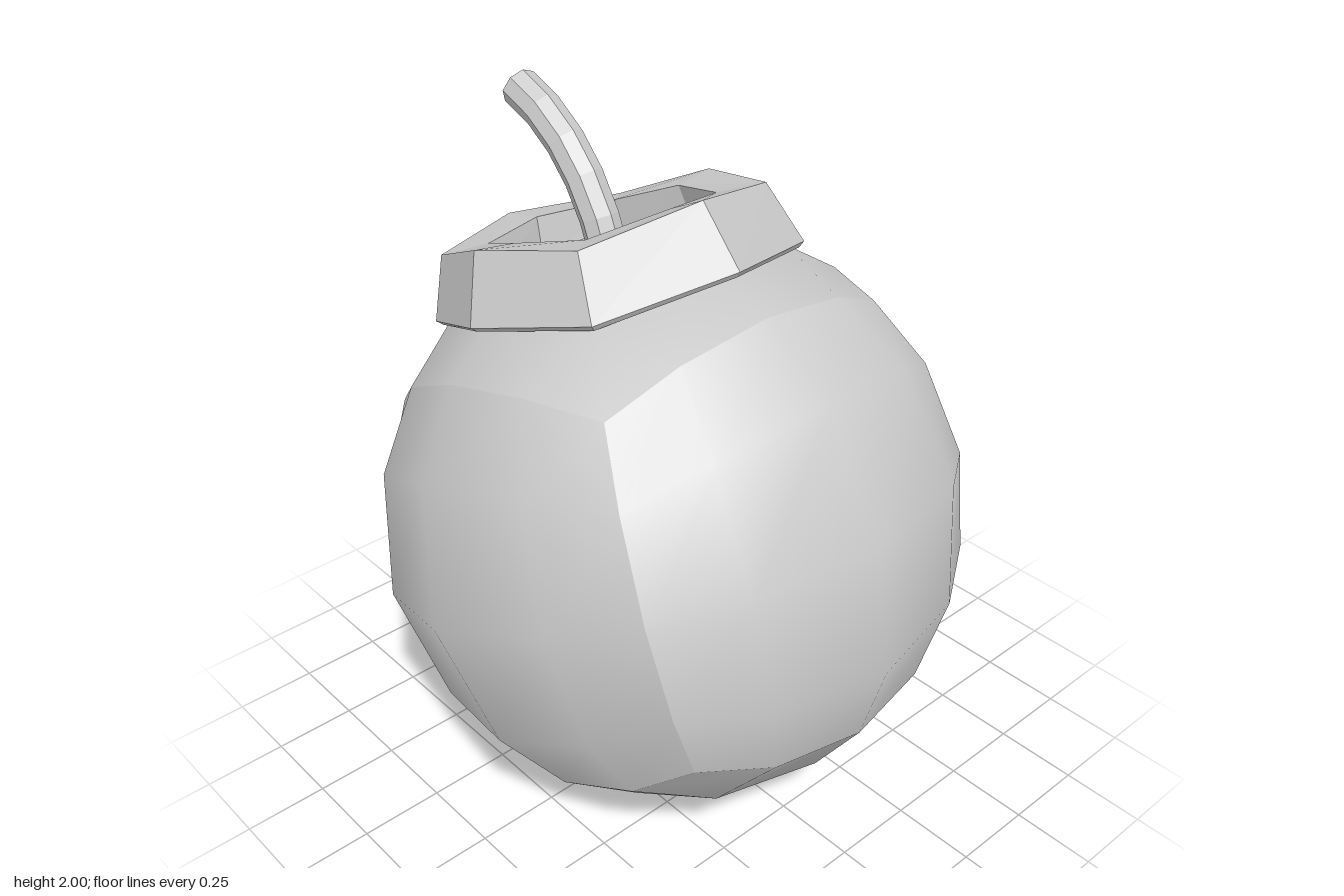
import * as THREE from 'three';

const material = new THREE.MeshStandardMaterial({ color: 0xcccccc });
const facetMaterial = new THREE.MeshStandardMaterial({ color: 0xcccccc, flatShading: true });
const R = 0.845;
const TILT = THREE.MathUtils.degToRad(-20);
const SIDES = 8;

// Skin a list of equal-length rings, given in order along the surface
function loft(rings) {
  const pos = [];
  const tri = (a, b, c) => {
    if (a.distanceTo(b) > 1e-6 && b.distanceTo(c) > 1e-6 && c.distanceTo(a) > 1e-6) {
      for (const p of [a, b, c]) pos.push(p.x, p.y, p.z);
    }
  };
  for (let i = 0; i < rings.length - 1; i++) {
    const lo = rings[i], hi = rings[i + 1];
    for (let j = 0; j < lo.length; j++) {
      const k = (j + 1) % lo.length;
      tri(lo[j], lo[k], hi[k]);
      tri(lo[j], hi[k], hi[j]);
    }
  }
  const geo = new THREE.BufferGeometry();
  geo.setAttribute('position', new THREE.Float32BufferAttribute(pos, 3));
  geo.computeVertexNormals();
  return geo;
}

// Cube blown up into a ball; each of its six sides is smooth, the seams stay creased
function bodyGeometry() {
  const geo = new THREE.BoxGeometry(1, 1, 1, 4, 4, 4);
  const p = geo.attributes.position;
  const v = new THREE.Vector3();
  for (let i = 0; i < p.count; i++) {
    v.fromBufferAttribute(p, i).setLength(R);
    p.setXYZ(i, v.x, v.y, v.z);
  }
  geo.computeVertexNormals();
  return geo;
}

// Octagonal ring whose diagonal corners sit lower, following the ball
function collarRing([rFront, rSide, rDiag, yMain, yDiag]) {
  return Array.from({ length: SIDES }, (_, j) => {
    const t = (j / SIDES) * Math.PI * 2;
    const diagonal = j % 2 === 1;
    const r = diagonal ? rDiag : j % 4 === 0 ? rFront : rSide;
    return new THREE.Vector3(r * Math.sin(t), diagonal ? yDiag : yMain, r * Math.cos(t));
  });
}

// Curved rod with a flat closed tip
function fuseGeometry() {
  const curve = new THREE.CatmullRomCurve3(
    [[1.55, -0.26], [1.69, -0.32], [1.805, -0.405], [1.895, -0.515], [1.95, -0.647]]
      .map(([y, z]) => new THREE.Vector3(0, y, z)));
  const ring = (u, radius) => {
    const c = curve.getPoint(u), d = curve.getTangent(u);
    return Array.from({ length: SIDES }, (_, j) => {
      const t = (j / SIDES) * Math.PI * 2;
      const n = radius * Math.cos(t);
      return new THREE.Vector3(radius * Math.sin(t), c.y - d.z * n, c.z + d.y * n);
    });
  };
  const rings = [];
  for (let i = 0; i <= 5; i++) rings.push(ring(i / 5, 0.057));
  rings.push(ring(1, 0));
  return loft(rings);
}

export function createModel() {
  const model = new THREE.Group();
  model.name = 'bomb';

  // Ball and collar lean backwards together
  const shell = new THREE.Group();
  shell.name = 'shell';
  shell.position.y = 0.84;
  shell.rotation.x = TILT;
  model.add(shell);

  const body = new THREE.Mesh(bodyGeometry(), material);
  body.name = 'body';
  shell.add(body);

  // Collar profile: underside, lower bevel, outer wall, rim, inner wall
  const collar = new THREE.Mesh(loft([
    [0.44, 0.42, 0.45, 0.69, 0.67],
    [0.512, 0.477, 0.518, 0.703, 0.678],
    [0.53, 0.494, 0.535, 0.717, 0.692],
    [0.45, 0.42, 0.467, 0.907, 0.873],
    [0.31, 0.295, 0.328, 0.89, 0.875],
    [0.335, 0.32, 0.35, 0.75, 0.73],
  ].map(collarRing)), facetMaterial);
  collar.name = 'collar';
  shell.add(collar);

  const fuse = new THREE.Mesh(fuseGeometry(), facetMaterial);
  fuse.name = 'fuse';
  model.add(fuse);

  return model;
}
